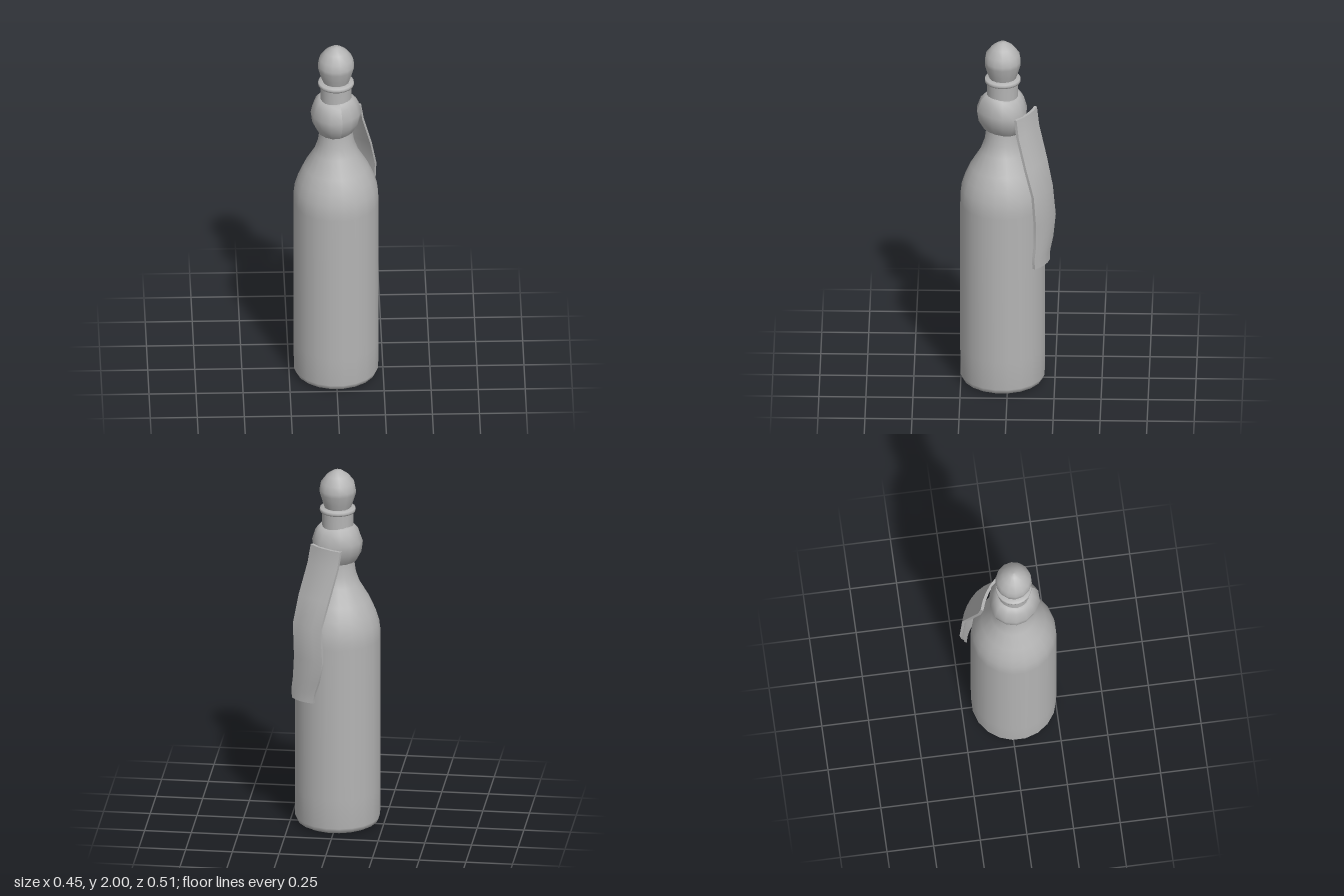
import * as THREE from 'three';

const grey = new THREE.MeshStandardMaterial({ color: 0xb4b4b4 });
grey.name = 'grey';

const AXIS_Z = 0.028; // the bottle stands slightly forward of the hanging band

// Turned part from [radius, height] pairs, bottom to top
function turned(name, profile, sides) {
  const points = profile.map(([r, y]) => new THREE.Vector2(r, y));
  const mesh = new THREE.Mesh(new THREE.LatheGeometry(points, sides, Math.PI / sides), grey);
  mesh.name = name;
  mesh.position.z = AXIS_Z;
  return mesh;
}

// Swollen wrap around the neck, pushed in and out so it looks hand tied
function neckWrap() {
  const mesh = turned('neckWrap', [
    [0.08, 1.475], [0.095, 1.485], [0.126, 1.54], [0.136, 1.6], [0.116, 1.66], [0.095, 1.685], [0.075, 1.69],
  ], 14);
  const pos = mesh.geometry.attributes.position;
  for (let i = 0; i < pos.count; i++) {
    const x = pos.getX(i), y = pos.getY(i), z = pos.getZ(i);
    const a = Math.atan2(x, z);
    const k = 1 + 0.035 * Math.sin(3 * a + y * 9) + 0.015 * Math.cos(5 * a);
    pos.setXYZ(i, x * k, y + 0.006 * Math.sin(2 * a), z * k);
  }
  mesh.geometry.computeVertexNormals();
  return mesh;
}

// Loose band: rows of centre x, y, z and half width, top to bottom
function hangingBand() {
  const rows = [
    [0.05, 1.598, -0.1, 0.1],
    [0.065, 1.5, -0.112, 0.1],
    [0.108, 1.33, -0.154, 0.1],
    [0.14, 1.18, -0.19, 0.093],
    [0.13, 1.0, -0.204, 0.096],
    [0.145, 0.88, -0.197, 0.085],
    [0.16, 0.81, -0.185, 0.078],
    [0.162, 0.757, -0.186, 0.072],
  ];
  const across = new THREE.Vector3(0.85, 0, 0.525);
  const outward = new THREE.Vector3(0.525, 0, -0.85);
  const geo = new THREE.BoxGeometry(2, 2, 2, 4, rows.length - 1, 1);
  const pos = geo.attributes.position;
  const p = new THREE.Vector3();
  for (let i = 0; i < pos.count; i++) {
    const row = Math.round((1 - pos.getY(i)) / 2 * (rows.length - 1));
    const [x, y, z, half] = rows[row];
    const s = pos.getX(i);
    const bulge = 0.014 * (0.5 - s * s); // slight curve across the width
    p.set(x, y, z)
      .addScaledVector(across, -s * half)
      .addScaledVector(outward, bulge + pos.getZ(i) * 0.008);
    pos.setXYZ(i, p.x, p.y, p.z);
  }
  geo.computeVertexNormals();
  const mesh = new THREE.Mesh(geo, grey);
  mesh.name = 'hangingBand';
  return mesh;
}

export function createModel() {
  const group = new THREE.Group();
  group.name = 'bottle';

  group.add(turned('base', [[0, 0], [0.195, 0]], 20));
  group.add(turned('body', [
    [0.195, 0], [0.215, 0.01], [0.226, 0.035], [0.228, 0.2], [0.228, 1.05], [0.227, 1.09], [0.221, 1.14],
    [0.203, 1.2], [0.172, 1.27], [0.118, 1.36], [0.097, 1.42], [0.087, 1.49], [0.083, 1.6], [0.083, 1.765],
  ], 20));
  group.add(turned('lip', [
    [0.08, 1.762], [0.094, 1.766], [0.096, 1.775], [0.094, 1.787], [0.07, 1.791],
  ], 20));
  group.add(turned('stopper', [
    [0.07, 1.785], [0.082, 1.82], [0.097, 1.87], [0.097, 1.89], [0.09, 1.93], [0.06, 1.97], [0.025, 1.995], [0, 2],
  ], 14));
  group.add(neckWrap());
  group.add(hangingBand());
  return group;
}
